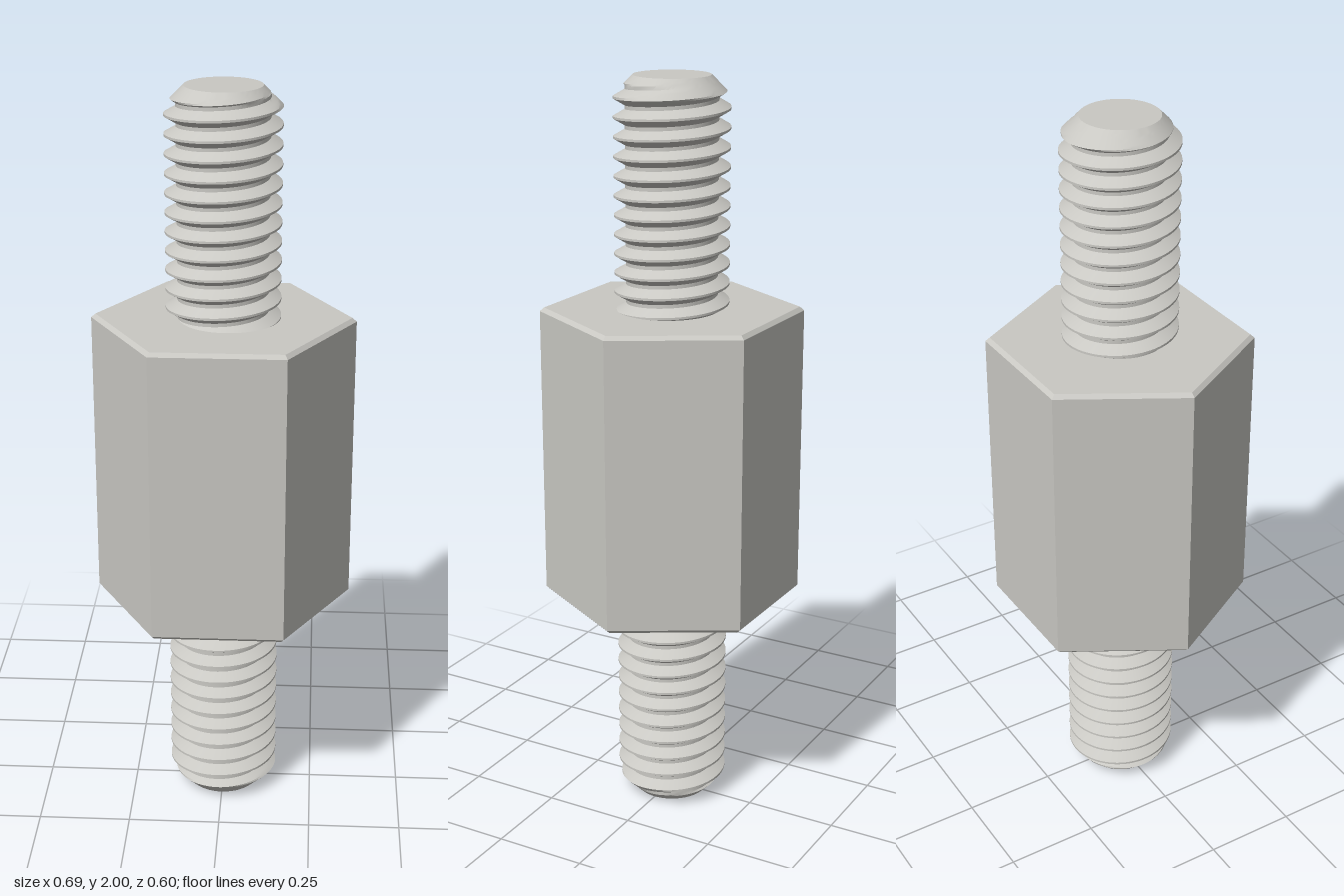
import * as THREE from 'three';
import { toCreasedNormals } from 'three/addons/utils/BufferGeometryUtils.js';

const PITCH = 0.05, MAJOR = 0.15, MINOR = 0.12, TIP = 0.1;
const CREST = 0.003, FLANK = (MAJOR - MINOR) * Math.tan(Math.PI / 6); // half crest width, flank height
const BASE = 1.4, TOP = 2, PHASE = 1.952; // PHASE: crest height at angle 0

// Thread radius at signed height d from the nearest crest, cut by a 45 degree tip chamfer
function radiusAt(d, y) {
  const t = THREE.MathUtils.clamp((Math.abs(d) - CREST) / FLANK, 0, 1);
  return Math.min(THREE.MathUtils.lerp(MAJOR, MINOR, t), TIP + TOP - y);
}

// Helical surface whose rows follow the crest, flanks and root of the thread
function threadGeometry() {
  const segs = 72, offsets = [];
  for (let i = 0; i <= 4; i++) offsets.push(-CREST - FLANK + (FLANK * i) / 4);
  for (let i = 0; i <= 4; i++) offsets.push(CREST + (FLANK * i) / 4);
  const rows = [];
  for (let k = -14; k <= 2; k++) for (const o of offsets) rows.push([PHASE + k * PITCH, o]);

  const pos = [], ys = [], index = [];
  for (const [crest, o] of rows) {
    for (let j = 0; j <= segs; j++) {
      const a = (j / segs) * Math.PI * 2;
      const c = crest + (PITCH * j) / segs;
      const y = THREE.MathUtils.clamp(c + o, BASE, TOP);
      const d = y - c - PITCH * Math.round((y - c) / PITCH);
      const r = radiusAt(d, y);
      pos.push(r * Math.cos(a), y, -r * Math.sin(a));
      ys.push(y);
    }
  }
  // Skip triangles squashed flat at either end
  const tri = (a, b, c) => {
    const lo = Math.min(ys[a], ys[b], ys[c]), hi = Math.max(ys[a], ys[b], ys[c]);
    if (hi - lo > 1e-7) index.push(a, b, c);
  };
  const w = segs + 1;
  for (let i = 0; i < rows.length - 1; i++) {
    for (let j = 0; j < segs; j++) {
      const a = i * w + j, b = a + 1, c = a + w, d = c + 1;
      tri(a, b, d);
      tri(a, d, c);
    }
  }
  const g = new THREE.BufferGeometry();
  g.setAttribute('position', new THREE.Float32BufferAttribute(pos, 3));
  g.setIndex(index);
  return toCreasedNormals(g, 0.5);
}

export function createModel() {
  const metal = new THREE.MeshStandardMaterial({ color: 0xc9c8c3 });
  metal.name = 'lightGreyMetal';
  const model = new THREE.Group();
  model.name = 'hexStandoff';

  // Hexagonal body with small bevels at both ends
  const R = 0.3 / Math.cos(Math.PI / 6), r = R - 0.0115;
  const profile = [[0, 0.6], [r, 0.6], [R, 0.61], [R, 1.39], [r, 1.4], [0, 1.4]]
    .map(([x, y]) => new THREE.Vector2(x, y));
  const hex = new THREE.LatheGeometry(profile, 6, Math.PI / 2).toNonIndexed();
  hex.computeVertexNormals();
  const body = new THREE.Mesh(hex, metal);
  body.name = 'hexBody';
  model.add(body);

  // Threaded studs; the lower one is the upper one turned half round about x
  const thread = threadGeometry();
  const cap = new THREE.CircleGeometry(TIP, 72).rotateX(-Math.PI / 2).translate(0, TOP, 0);
  for (const name of ['upperStud', 'lowerStud']) {
    const stud = new THREE.Group();
    stud.name = name;
    const threadMesh = new THREE.Mesh(thread, metal);
    threadMesh.name = name + 'Thread';
    const capMesh = new THREE.Mesh(cap, metal);
    capMesh.name = name + 'Tip';
    stud.add(threadMesh, capMesh);
    if (name === 'lowerStud') {
      stud.rotation.x = Math.PI;
      stud.position.y = 2;
    }
    model.add(stud);
  }
  return model;
}
